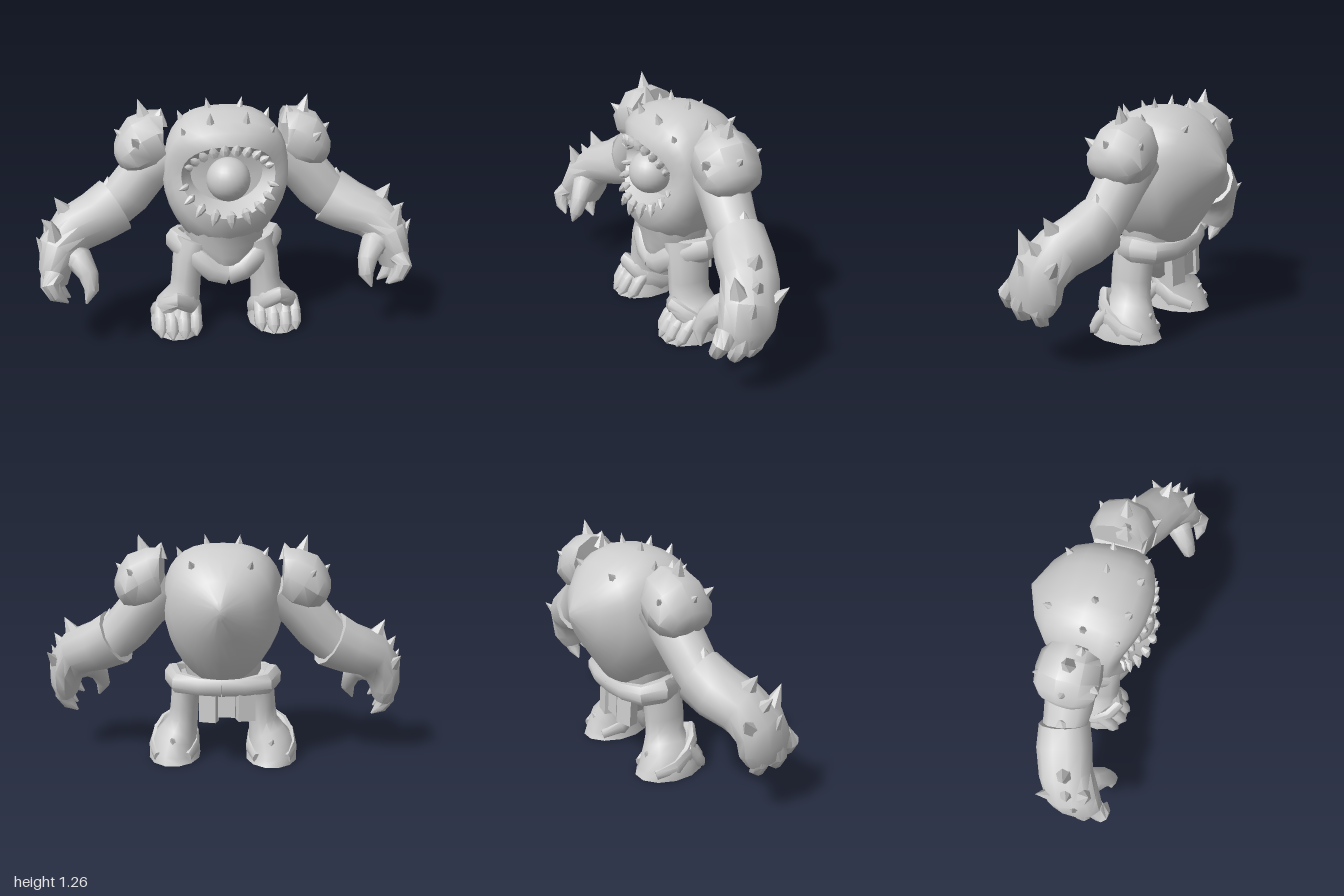
import * as THREE from 'three';
import { toCreasedNormals } from 'three/addons/utils/BufferGeometryUtils.js';

const V = (x, y, z) => new THREE.Vector3(x, y, z);
const X = V(1, 0, 0), Y = V(0, 1, 0), Z = V(0, 0, 1);

// Skin a list of equal-sized point loops and close both ends
function skin(loops, crease = 0.8) {
  const n = loops[0].length, pos = [], idx = [];
  for (const loop of loops) for (const p of loop) pos.push(p.x, p.y, p.z);
  for (let i = 0; i < loops.length - 1; i++) {
    for (let j = 0; j < n; j++) {
      const a = i * n + j, b = i * n + (j + 1) % n;
      idx.push(a, b, a + n, b, b + n, a + n);
    }
  }
  [0, loops.length - 1].forEach((r, end) => {
    const c = loops[r].reduce((s, p) => s.add(p), V(0, 0, 0)).divideScalar(n);
    const k = pos.length / 3;
    pos.push(c.x, c.y, c.z);
    for (let j = 0; j < n; j++) {
      const a = r * n + j, b = r * n + (j + 1) % n;
      if (end) idx.push(k, a, b); else idx.push(k, b, a);
    }
  });
  const g = new THREE.BufferGeometry();
  g.setAttribute('position', new THREE.Float32BufferAttribute(pos, 3));
  g.setIndex(idx);
  return toCreasedNormals(g, crease);
}

// Sweep ellipses along stations [x, y, z, radius along ref, radius across]
function limb(stations, sides = 10, ref = Z) {
  const pts = stations.map(s => V(s[0], s[1], s[2]));
  return skin(stations.map((s, i) => {
    const t = pts[Math.min(i + 1, pts.length - 1)].clone().sub(pts[Math.max(i - 1, 0)]).normalize();
    const u = ref.clone().addScaledVector(t, -ref.dot(t)).normalize();
    const v = t.clone().cross(u);
    return Array.from({ length: sides }, (_, j) => {
      const a = (j + 0.5) / sides * Math.PI * 2;
      return pts[i].clone().addScaledVector(u, Math.cos(a) * s[3]).addScaledVector(v, Math.sin(a) * (s[4] ?? s[3]));
    });
  }));
}

// Cone from a base point to a tip
function spike(base, tip, r, sides = 6) {
  const a = V(...base), d = V(...tip).sub(a), len = d.length();
  const g = new THREE.ConeGeometry(r, len, sides, 1, true).translate(0, len / 2, 0);
  g.applyQuaternion(new THREE.Quaternion().setFromUnitVectors(Y, d.normalize()));
  return toCreasedNormals(g.translate(a.x, a.y, a.z), 0.8);
}

export function createModel() {
  const model = new THREE.Group();
  const grey = new THREE.MeshStandardMaterial({ color: 0xcccccc });
  grey.name = 'stone grey';
  const add = (name, geo, parent = model) => {
    const m = new THREE.Mesh(geo, grey);
    m.name = name;
    parent.add(m);
    return m;
  };

  // Body: loops from the mouth pocket, over the lips, to the keel of the back
  // [half width, top, bottom, z, backward bend at the sides, corner exponents]
  const shell = [
    [0.01, 0.88, 0.86, 0.13, 0], [0.19, 1.01, 0.74, 0.15, 0.03],
    [0.22, 1.035, 0.725, 0.225, 0.06], [0.245, 1.065, 0.69, 0.27, 0.075],
    [0.29, 1.13, 0.60, 0.25, 0.07, 0.75, 1], [0.322, 1.175, 0.50, 0.19, 0.04, 0.75, 1.1],
    [0.333, 1.21, 0.43, 0.10, 0, 0.75, 1.15], [0.318, 1.22, 0.44, -0.02, 0, 0.75, 1.15],
    [0.30, 1.195, 0.47, -0.12, 0, 0.75, 1.1], [0.265, 1.15, 0.60, -0.205, 0, 0.8, 1],
    [0.165, 1.06, 0.735, -0.295, 0, 0.95, 1], [0.04, 0.96, 0.86, -0.355, 0, 1.1, 1.1], [0.005, 0.925, 0.895, -0.372, 0],
  ];
  add('body', skin(shell.map(([a, top, bot, z, bend, eTop = 0.9, eBot = 1]) => Array.from({ length: 32 }, (_, j) => {
    const t = j / 32 * Math.PI * 2, c = Math.cos(t), s = -Math.sin(t);
    const mid = top - (top - bot) * 0.45, e = s > 0 ? eTop : eBot;
    const x = a * Math.sign(c) * Math.abs(c) ** e;
    const y = mid + Math.sign(s) * Math.abs(s) ** e * (s > 0 ? top - mid : mid - bot);
    const lip = bend > 0.05 && s < 0 ? -s * 0.03 : 0;
    return V(x, y, z + lip - bend * c * c);
  })), 0.9));
  add('eye', new THREE.SphereGeometry(0.115, 24, 16).translate(0, 0.87, 0.185));

  // Teeth splay outward around both lips
  const teeth = new THREE.Group();
  teeth.name = 'teeth';
  model.add(teeth);
  for (const [side, count, len, start] of [[1, 10, 0.05, 0.45], [-1, 9, 0.075, 0.2]]) {
    for (let i = 0; i < count; i++) {
      const t = start + (Math.PI - 2 * start) * i / (count - 1), c = Math.cos(t), s = Math.sin(t) * side;
      const z = 0.255 - 0.07 * c * c + (side < 0 ? 0.03 * Math.abs(s) : 0);
      const k = 0.5 + 0.5 * Math.abs(s), l = len * k, x = c * 0.22, y = 0.875 + s * 0.155;
      add('tooth', limb([
        [x, y, z - 0.01, 0.012], [x + c * l * 0.2, y + s * l * 0.2, z + 0.015, 0.028 * k],
        [x + c * l * 0.6, y + s * l * 0.6, z + 0.025, 0.02 * k], [x + c * l, y + s * l, z + 0.035, 0.002],
      ], 7), teeth);
    }
  }

  // Pelvis and the ragged flaps behind
  add('pelvis', limb([
    [0, 0.60, 0.06, 0.20, 0.215], [0, 0.50, 0.055, 0.175, 0.21], [0, 0.42, 0.06, 0.165, 0.165],
    [0, 0.35, 0.075, 0.14, 0.115], [0, 0.27, 0.10, 0.08, 0.04],
  ], 14));
  [[-0.13, 0.27, 0.3], [-0.03, 0.29, -0.1], [0.07, 0.26, -0.25]].forEach(([x, low, turn]) => {
    const h = 0.48 - low;
    const flap = add('backFlap', new THREE.BoxGeometry(0.095, h, 0.06));
    flap.position.set(x, low + h / 2, -0.105);
    flap.rotation.set(0.05, turn, 0);
  });

  // Everything paired is built on the left and mirrored
  const left = new THREE.Group();
  left.name = 'leftSide';
  const put = (name, geo) => add(name, geo, left);

  put('belt', limb([
    [0, 0.335, 0.19, 0.06, 0.04], [0.08, 0.355, 0.185, 0.06, 0.045], [0.15, 0.415, 0.165, 0.065, 0.05],
    [0.225, 0.465, 0.11, 0.07, 0.05], [0.275, 0.485, 0.02, 0.07, 0.05], [0.24, 0.47, -0.08, 0.06, 0.045],
    [0.12, 0.46, -0.125, 0.05, 0.035], [0, 0.455, -0.13, 0.05, 0.035],
  ], 8, Y));

  // Leg, ankle guard and toes
  put('leg', limb([
    [0.17, 0.50, 0.06, 0.13, 0.10], [0.205, 0.40, 0.075, 0.12, 0.085], [0.218, 0.30, 0.08, 0.118, 0.08],
    [0.225, 0.22, 0.08, 0.117, 0.083], [0.245, 0.155, 0.075, 0.135, 0.105], [0.262, 0.12, 0.07, 0.155, 0.122],
    [0.275, 0.045, 0.075, 0.185, 0.143], [0.275, 0, 0.075, 0.205, 0.146],
  ], 12));
  put('ankleGuard', limb([
    [0.36, 0.035, -0.07, 0.03, 0.02], [0.395, 0.065, 0.04, 0.05, 0.024], [0.375, 0.115, 0.13, 0.055, 0.028],
    [0.33, 0.17, 0.185, 0.05, 0.032], [0.28, 0.205, 0.212, 0.045, 0.034], [0.215, 0.17, 0.185, 0.05, 0.032],
    [0.17, 0.115, 0.13, 0.055, 0.028], [0.153, 0.065, 0.04, 0.05, 0.024], [0.19, 0.035, -0.07, 0.03, 0.02],
  ], 8, Y));
  for (const x of [0.18, 0.245, 0.31, 0.37]) {
    const back = Math.abs(x - 0.275) * 0.5;
    put('toe', limb([
      [x, 0.15, 0.17 - back, 0.03], [x, 0.09, 0.23 - back, 0.037],
      [x, 0.035, 0.265 - back, 0.035], [x, 0.006, 0.295 - back, 0.006],
    ], 8, X));
  }
  put('heelSpur', spike([0.27, 0.11, -0.05], [0.28, 0.15, -0.09], 0.04));

  // Arm
  put('upperArm', limb([
    [0.30, 0.98, -0.01, 0.135], [0.42, 0.88, 0, 0.135, 0.13],
    [0.52, 0.76, 0.015, 0.125, 0.13], [0.62, 0.67, 0.02, 0.11, 0.12],
  ]));
  put('shoulderPad', limb([
    [0.325, 1.06, -0.015, 0.14, 0.14], [0.345, 1.06, -0.015, 0.16, 0.15], [0.42, 1.02, -0.01, 0.172, 0.165],
    [0.49, 0.975, -0.005, 0.165, 0.13], [0.54, 0.95, 0, 0.125, 0.085], [0.56, 0.94, 0, 0.06, 0.045],
  ], 9));
  put('forearm', limb([
    [0.585, 0.70, 0.015, 0.132, 0.155], [0.69, 0.645, 0.05, 0.147, 0.14], [0.81, 0.60, 0.10, 0.142, 0.13],
    [0.885, 0.52, 0.155, 0.15, 0.113], [0.91, 0.42, 0.18, 0.155, 0.087], [0.91, 0.34, 0.20, 0.12, 0.062],
  ], 12));

  // Curled fingers and thumb
  for (const [x, z, low] of [[-0.01, 0.33, 0.06], [0.01, 0.24, 0.02], [-0.01, 0.145, 0]]) {
    put('finger', limb([
      [0.92 + x, 0.43, z - 0.04, 0.055], [0.935 + x, 0.33 + low, z, 0.05, 0.046],
      [0.905 + x, 0.275 + low, z + 0.01, 0.036], [0.855 + x, 0.235 + low, z + 0.01, 0.005],
    ], 8));
  }
  put('thumb', limb([
    [0.86, 0.50, 0.18, 0.09], [0.775, 0.48, 0.24, 0.07], [0.737, 0.42, 0.29, 0.052],
    [0.725, 0.35, 0.32, 0.04], [0.755, 0.28, 0.335, 0.006],
  ], 8));

  // Spikes: [base, tip, radius]
  const groups = {
    shoulderSpike: [
      [[0.41, 1.14, -0.005], [0.45, 1.265, -0.01], 0.055], [[0.49, 1.03, 0], [0.575, 1.11, 0], 0.06],
      [[0.45, 1.04, 0.11], [0.49, 1.10, 0.17], 0.045], [[0.45, 1.04, -0.11], [0.49, 1.10, -0.17], 0.045],
      [[0.35, 1.14, 0.02], [0.33, 1.22, 0.03], 0.06],
    ],
    forearmSpike: [
      [[0.61, 0.76, 0.02], [0.62, 0.86, 0.015], 0.085], [[0.82, 0.66, 0.10], [0.895, 0.79, 0.12], 0.07],
      [[0.89, 0.59, 0.13], [0.965, 0.69, 0.16], 0.06], [[0.89, 0.56, 0.21], [0.91, 0.72, 0.26], 0.065],
      [[0.92, 0.52, 0.08], [0.97, 0.615, -0.01], 0.055], [[0.935, 0.48, 0.19], [0.995, 0.61, 0.20], 0.05],
    ],
    backSpike: [
      [[0.075, 1.17, 0.01], [0.095, 1.265, 0.005], 0.035], [[0.21, 1.12, 0], [0.245, 1.20, -0.01], 0.035],
      [[0.09, 1.14, 0.17], [0.095, 1.225, 0.20], 0.035], [[0.21, 1.08, 0.15], [0.24, 1.15, 0.19], 0.035],
      [[0.14, 1.09, -0.18], [0.16, 1.15, -0.235], 0.038],
    ],
  };
  for (const [name, list] of Object.entries(groups)) {
    for (const [base, tip, r] of list) put(name, spike(base, tip, r));
  }

  const right = left.clone();
  right.name = 'rightSide';
  right.scale.x = -1;
  model.add(left, right);
  return model;
}
